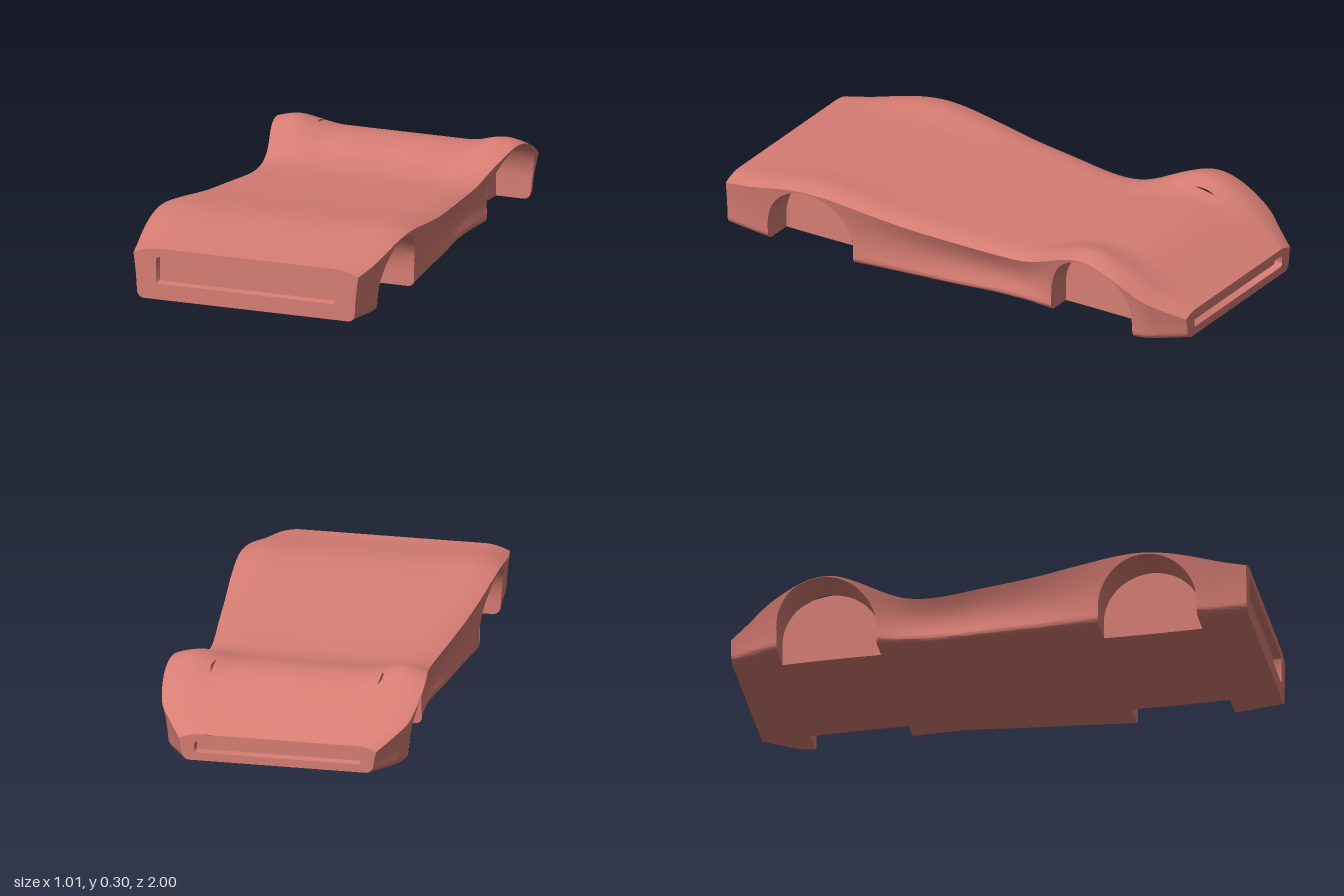
import * as THREE from 'three';
import { toCreasedNormals } from 'three/addons/utils/BufferGeometryUtils.js';

const INNER = 0.325;                    // inner face of the wheel wells
const R = 0.19, WELL_Y = 0.09, WELLS = [0.62, -0.62];

// Smooth curve through [z, value] pairs, z descending
function curve(keys) {
  const slope = (i) => {
    const a = keys[Math.max(0, i - 1)], b = keys[Math.min(keys.length - 1, i + 1)];
    return (b[1] - a[1]) / (b[0] - a[0]);
  };
  return (z) => {
    let i = 0;
    while (i < keys.length - 2 && z < keys[i + 1][0]) i++;
    const [z0, v0] = keys[i], [z1, v1] = keys[i + 1], h = z1 - z0, t = (z - z0) / h;
    const t2 = t * t, t3 = t2 * t;
    return v0 * (2 * t3 - 3 * t2 + 1) + v1 * (3 * t2 - 2 * t3)
      + h * (slope(i) * (t3 - 2 * t2 + t) + slope(i + 1) * (t3 - t2));
  };
}

// Profiles along the length
const halfWidth = curve([[1, 0.458], [0.8, 0.49], [0.6, 0.503], [0.4, 0.494], [0.2, 0.475], [0, 0.455],
  [-0.2, 0.434], [-0.3, 0.435], [-0.4, 0.449], [-0.55, 0.487], [-0.7, 0.504], [-0.85, 0.484], [-0.92, 0.44], [-1, 0.385]]);
const sillWidth = curve([[1, 0.443], [0.6, 0.476], [0.2, 0.452], [0, 0.44], [-0.2, 0.424], [-0.4, 0.435],
  [-0.6, 0.472], [-0.7, 0.476], [-0.85, 0.458], [-0.92, 0.42], [-1, 0.372]]);
const deckHeight = curve([[1, 0.248], [0.9, 0.258], [0.8, 0.274], [0.7, 0.287], [0.6, 0.291], [0.5, 0.285], [0.4, 0.273],
  [0.2, 0.247], [0, 0.229], [-0.2, 0.212], [-0.3, 0.212], [-0.4, 0.227], [-0.5, 0.253], [-0.6, 0.266],
  [-0.7, 0.252], [-0.8, 0.212], [-0.9, 0.16], [-1, 0.112]]);
const fenderRise = curve([[1, 0], [0.85, 0.005], [0.6, 0.014], [0.35, 0.007], [0.1, 0], [-0.3, 0],
  [-0.45, 0.02], [-0.6, 0.037], [-0.75, 0.022], [-0.9, 0.004], [-1, 0]]);
const edgeDrop = curve([[1, 0.025], [0.7, 0.02], [0, 0.02], [-1, 0.02]]);
const floorHeight = curve([[1, 0.045], [0.8, 0.032], [0.43, 0.021], [-0.4, 0.017], [-0.7, 0.008], [-0.85, 0.001], [-1, 0.006]]);
const sideDent = curve([[1, 0], [0.6, 0.003], [0, 0.022], [-0.25, 0.022], [-0.6, 0.003], [-1, 0]]);

function topAt(x, z) {
  const u = Math.abs(x) / halfWidth(z);
  return deckHeight(z) + fenderRise(z) * THREE.MathUtils.smoothstep(u, 0.5, 0.86)
    - edgeDrop(z) * Math.max(0, (u - 0.78) / 0.22) ** 2;
}

function sideAt(y, z) {
  const top = topAt(halfWidth(z), z), floor = floorHeight(z), r = 0.028;
  const t = THREE.MathUtils.clamp((top - y) / (top - floor), 0, 1);
  const x = THREE.MathUtils.lerp(halfWidth(z), sillWidth(z), 1 - (1 - t) ** 1.6) - sideDent(z) * Math.sin(Math.PI * t);
  const k = Math.max(0, r - (y - floor));
  return x - (r - Math.sqrt(Math.max(0, r * r - k * k)));
}

// Lowest solid height outside the inner face; wheel wells raise it
function lowAt({ z, well }) {
  if (well === undefined) return floorHeight(z);
  return WELL_Y + Math.sqrt(Math.max(0, R * R - (z - well) ** 2));
}

const line = (n, f) => Array.from({ length: n + 1 }, (_, i) => f(i / n));
const lerp = THREE.MathUtils.lerp;

// Outer section: over the fender, down the side and back under
function fenderSection(s) {
  const { z } = s, w = halfWidth(z), edge = topAt(w, z), low = Math.min(lowAt(s), edge - 0.002);
  let start = INNER;
  while (s.well !== undefined && topAt(start, z) < lowAt(s) && start < 0.43) start += 0.0005;
  const xLow = sideAt(low, z);
  return [
    ...line(16, (t) => new THREE.Vector3(lerp(start, w, t), topAt(lerp(start, w, t), z), z)),
    ...line(22, (t) => {
      const y = lerp(edge, low, Math.sin(t * Math.PI / 2));
      return new THREE.Vector3(sideAt(y, z), y, z);
    }).slice(1),
    ...line(3, (t) => new THREE.Vector3(lerp(xLow, start, t), low, z)).slice(1),
  ];
}

// Triangles joining successive rows of points
function loft(rows, out, mirror = false) {
  const add = (a, b, c) => {
    for (const p of mirror ? [a, c, b] : [a, b, c]) out.push(mirror ? -p.x : p.x, p.y, p.z);
  };
  for (let j = 0; j < rows.length - 1; j++) {
    for (let i = 0; i < rows[j].length - 1; i++) {
      const a = rows[j][i], c = rows[j][i + 1], b = rows[j + 1][i], d = rows[j + 1][i + 1];
      add(a, c, b);
      add(c, d, b);
    }
  }
}

function meshFrom(positions, name, material) {
  const g = new THREE.BufferGeometry();
  g.setAttribute('position', new THREE.Float32BufferAttribute(positions, 3));
  const mesh = new THREE.Mesh(toCreasedNormals(g, 0.6), material);
  mesh.name = name;
  return mesh;
}

// Stations from front to back; well ends are doubled to form upright walls
function stations() {
  const list = [];
  const plain = (a, b, n) => list.push(...line(n, (t) => ({ z: lerp(a, b, t) })));
  let from = 1;
  for (const well of WELLS) {
    plain(from, well + R, from === 1 ? 8 : 36);
    list.push(...line(32, (t) => ({ z: well + R * Math.cos(t * Math.PI), well })));
    from = well - R;
  }
  plain(from, -1, 10);
  return list;
}

function roundedRect(w, h, cy, r) {
  const pts = [];
  [[1, -1, -0.5], [1, 1, 0], [-1, 1, 0.5], [-1, -1, 1]].forEach(([sx, sy, q]) => {
    for (let i = 0; i <= 4; i++) {
      const a = (q + i / 8) * Math.PI;
      pts.push(new THREE.Vector2(sx * (w - r) + r * Math.cos(a), cy + sy * (h - r) + r * Math.sin(a)));
    }
  });
  return pts;
}

// Flat end panel with a shallow recess
function endPanel(name, z, w, h, cy, depth, material) {
  const group = new THREE.Group();
  group.name = name;
  const right = fenderSection({ z }).map((p) => new THREE.Vector2(p.x, p.y));
  const left = right.map((p) => new THREE.Vector2(-p.x, p.y)).reverse();
  const shape = new THREE.Shape([...right, ...left]);
  const rim = roundedRect(w, h, cy, 0.012), back = roundedRect(w - 0.005, h - 0.004, cy, 0.01);
  shape.holes.push(new THREE.Path(rim));
  const panel = new THREE.Mesh(new THREE.ShapeGeometry(shape), material);
  panel.name = name + 'Face';
  const ring = (pts, d) => [...pts, pts[0]].map((p) => new THREE.Vector3(p.x, p.y, d));
  const walls = [];
  loft([ring(rim, 0), ring(back, -depth)], walls);
  const floor = new THREE.Mesh(new THREE.ShapeGeometry(new THREE.Shape(back)), material);
  floor.name = name + 'RecessBack';
  floor.position.z = -depth;
  group.add(panel, meshFrom(walls, name + 'RecessWalls', material), floor);
  group.position.z = z;
  if (z < 0) group.rotation.y = Math.PI;
  return group;
}

export function createModel() {
  const model = new THREE.Group();
  model.name = 'carBody';
  const paint = new THREE.MeshStandardMaterial({ color: 0xd67d73, side: THREE.DoubleSide });
  paint.name = 'coral paint';

  const all = stations();
  const shell = [];
  // Central deck and floor
  loft(all.map(({ z }) => line(24, (t) => {
    const x = lerp(-INNER, INNER, t);
    return new THREE.Vector3(x, topAt(x, z), z);
  })), shell);
  loft(all.map(({ z }) => line(2, (t) => new THREE.Vector3(lerp(INNER, -INNER, t), floorHeight(z), z))), shell);
  // Fenders, sides and wheel arches
  const sections = all.map(fenderSection);
  loft(sections, shell);
  loft(sections, shell, true);
  model.add(meshFrom(shell, 'bodyShell', paint));

  // Inner walls of the wheel wells
  for (const well of WELLS) {
    const rows = all.filter((s) => s.well === well).map((s) => [
      new THREE.Vector3(INNER, Math.min(lowAt(s), topAt(INNER, s.z)), s.z),
      new THREE.Vector3(INNER, floorHeight(s.z), s.z),
    ]);
    for (const mirror of [false, true]) {
      const wall = [];
      loft(rows, wall, mirror);
      model.add(meshFrom(wall, (mirror ? 'right' : 'left') + (well > 0 ? 'Front' : 'Rear') + 'WellWall', paint));
    }
  }

  model.add(endPanel('frontPanel', 1, 0.367, 0.053, 0.161, 0.03, paint));
  model.add(endPanel('rearPanel', -1, 0.325, 0.022, 0.06, 0.03, paint));
  return model;
}
